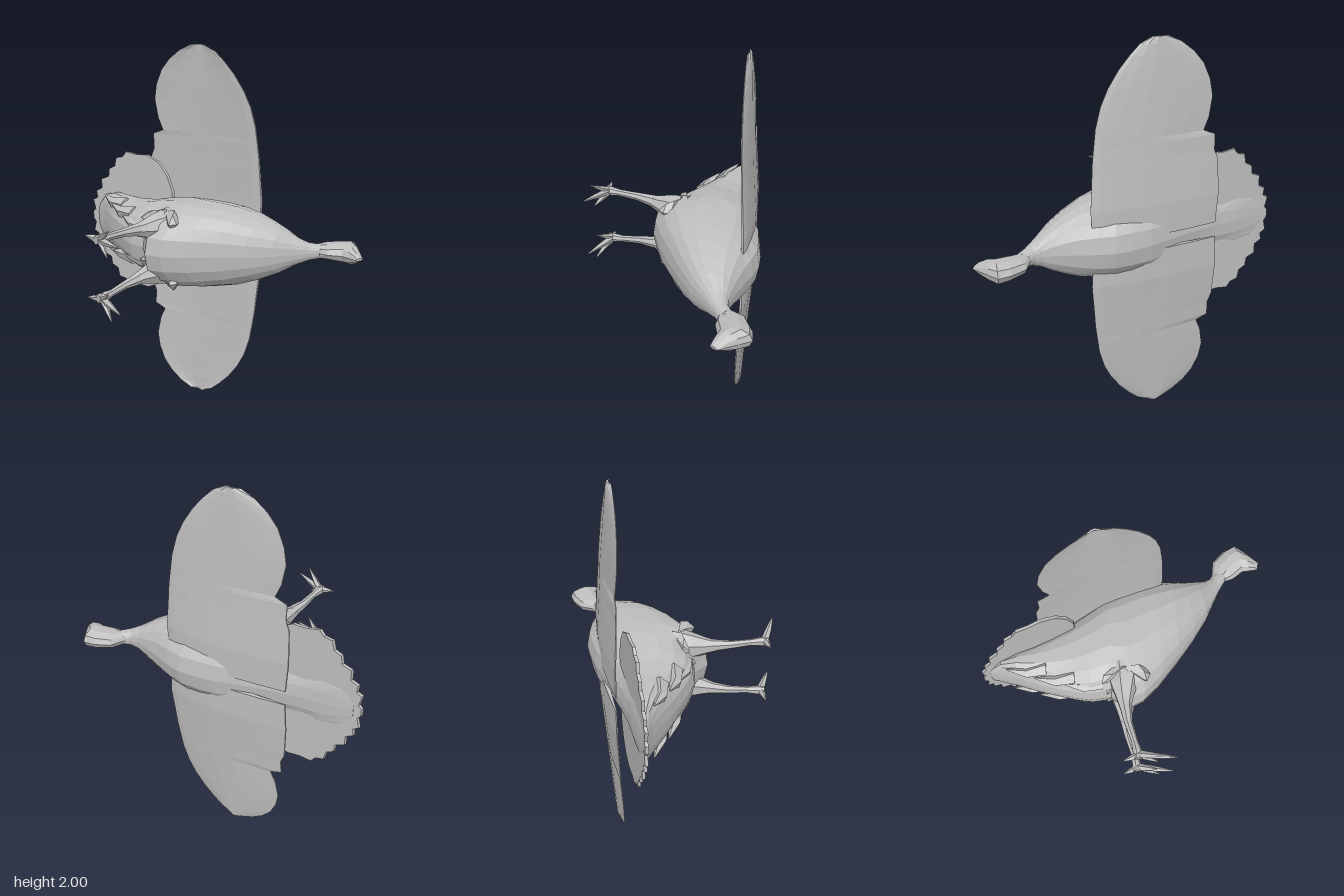
import * as THREE from 'three';

// The bird lies on its side: head to +x, back to -z, wings along y about y = 1.
const MID = 1;
const grey = new THREE.MeshStandardMaterial({ color: 0xbebebe, flatShading: true });
grey.name = 'plain grey';

// Skin a closed solid over rings of points, with fan caps, facing outwards.
function loft(rings) {
  const n = rings[0].length, pos = [], idx = [];
  const add = (p) => pos.push(p.x, p.y, p.z) / 3 - 1;
  rings.forEach((r) => r.forEach(add));
  for (let i = 0; i < rings.length - 1; i++) {
    for (let j = 0; j < n; j++) {
      const a = i * n + j, b = i * n + (j + 1) % n;
      idx.push(a, b, a + n, b, b + n, a + n);
    }
  }
  [0, rings.length - 1].forEach((k) => {
    const c = new THREE.Vector3();
    rings[k].forEach((p) => c.addScaledVector(p, 1 / n));
    const m = add(c);
    for (let j = 0; j < n; j++) {
      const a = k * n + j, b = k * n + (j + 1) % n;
      if (k === 0) idx.push(m, b, a); else idx.push(m, a, b);
    }
  });
  // Signed volume tells whether the corners must be reversed
  const v = (i) => new THREE.Vector3().fromArray(pos, i * 3);
  let vol = 0;
  for (let i = 0; i < idx.length; i += 3) vol += v(idx[i]).dot(v(idx[i + 1]).cross(v(idx[i + 2])));
  if (vol < 0) idx.reverse();
  const g = new THREE.BufferGeometry();
  g.setAttribute('position', new THREE.Float32BufferAttribute(pos, 3));
  g.setIndex(idx);
  g.computeVertexNormals();
  return g;
}

function mesh(name, geometry) {
  const m = new THREE.Mesh(geometry, grey);
  m.name = name;
  return m;
}

// Rounded ring between a back point and a belly point, with half width w
function bodyRing([tx, tz, bx, bz, w], n = 18, power = 2.3) {
  const round = (c) => Math.sign(c) * Math.abs(c) ** (2 / power);
  return Array.from({ length: n }, (_, i) => {
    const a = (i / n) * Math.PI * 2, c = round(Math.cos(a)), s = round(Math.sin(a));
    return new THREE.Vector3((tx + bx) / 2 + c * (tx - bx) / 2, MID + s * w, (tz + bz) / 2 + c * (tz - bz) / 2);
  });
}

// Tapered limb through points [x, y, z, radius], ringed across z or along x
function limb(points, alongX, n = 7) {
  return loft(points.map(([x, y, z, r]) => Array.from({ length: n }, (_, i) => {
    const a = (i / n) * Math.PI * 2, c = Math.cos(a) * r, s = Math.sin(a) * r;
    return alongX ? new THREE.Vector3(x, y + c, z + s) : new THREE.Vector3(x + c, y + s, z);
  })));
}

function wing(side) {
  // [distance from the spine, leading x, trailing x, half thickness]
  const stations = [
    [0.04, 0.19, -0.44, 0.026], [0.2, 0.2, -0.45, 0.026], [0.38, 0.19, -0.44, 0.02],
    [0.43, 0.188, -0.42, 0.018], [0.51, 0.18, -0.42, 0.016], [0.535, 0.177, -0.36, 0.015],
    [0.6, 0.17, -0.385, 0.014], [0.7, 0.145, -0.4, 0.012], [0.78, 0.11, -0.385, 0.011],
    [0.86, 0.06, -0.35, 0.009], [0.92, 0.01, -0.3, 0.008], [0.97, -0.04, -0.235, 0.006],
    [1.0, -0.1, -0.17, 0.003],
  ];
  const chord = [0, 0.06, 0.2, 0.4, 0.6, 0.8, 1];
  return loft(stations.map(([d, lead, trail, thick]) => {
    const point = (t, up) => {
      const x = lead + (trail - lead) * t;
      const mid = -0.27 - 0.345 * x + 0.045 * Math.max(0, d - 0.2) / 0.8;
      const camber = 0.018 * Math.sin(Math.PI * t);
      const half = thick * (0.12 + 1.5 * Math.sqrt(t) * (1 - t) ** 1.1 + 0.1 * (1 - t));
      return new THREE.Vector3(x, MID + side * d, mid - camber - up * half);
    };
    return [...chord.map((t) => point(t, 1)), ...chord.slice().reverse().map((t) => point(t, -1))];
  }));
}

function tailFan() {
  // Half outline of the fan with stepped feather ends
  const half = [
    [-0.27, 0.2], [-0.3, 0.29], [-0.35, 0.36], [-0.42, 0.395], [-0.48, 0.39], [-0.54, 0.4],
    [-0.56, 0.37], [-0.6, 0.36], [-0.61, 0.31], [-0.645, 0.29], [-0.65, 0.245], [-0.695, 0.225],
    [-0.695, 0.17], [-0.73, 0.15], [-0.725, 0.11], [-0.752, 0.095], [-0.74, 0.04], [-0.755, 0.02],
  ];
  const outline = [...half, ...half.slice().reverse().map(([x, y]) => [x, -y])];
  const shape = new THREE.Shape(outline.map(([x, y]) => new THREE.Vector2(x, y)));
  const g = new THREE.ExtrudeGeometry(shape, { depth: 0.016, bevelEnabled: false });
  const p = g.attributes.position;
  for (let i = 0; i < p.count; i++) {
    p.setXYZ(i, p.getX(i), p.getY(i) + MID, p.getZ(i) - 0.243 - 0.42 * p.getX(i));
  }
  g.computeVertexNormals();
  return g;
}

function leg(side) {
  const g = new THREE.Group();
  const y = (d) => MID + side * d;
  g.add(mesh('thigh', limb([
    [-0.03, y(0.11), 0.1, 0.1], [-0.035, y(0.12), 0.2, 0.07], [-0.035, y(0.125), 0.27, 0.045],
    [-0.035, y(0.13), 0.33, 0.027]])));
  g.add(mesh('shank', limb([
    [-0.035, y(0.13), 0.3, 0.034], [-0.025, y(0.138), 0.4, 0.022], [0, y(0.147), 0.5, 0.018],
    [0.01, y(0.15), 0.55, 0.025], [0.01, y(0.15), 0.588, 0.022]])));
  // Toes: tip x, distance from the spine at the tip
  [[0.2, 0.165], [0.13, 0.225], [0.11, 0.095], [-0.06, 0.16]].forEach(([tip, d]) => {
    const mx = 0.02 + (tip - 0.02) * 0.5;
    g.add(mesh('toe', limb([
      [0.01, y(0.15), 0.565, 0.022], [mx, y((0.15 + d) / 2), 0.582, 0.015], [tip, y(d), 0.596, 0.004]], true, 5)));
  });
  // Ragged feathers around the thigh
  [[-0.14, 0.15, 0.2], [0.08, 0.16, 0.2], [-0.12, 0.07, 0.23]].forEach(([x, d, z]) => {
    g.add(mesh('thighFeather', limb([
      [x * 0.3, y(d), 0.13, 0.06], [x * 0.7, y(d), (z + 0.13) / 2, 0.045], [x, y(d), z, 0.004]], false, 5)));
  });
  return g;
}

export function createModel() {
  const model = new THREE.Group();
  model.name = 'bird';

  // Body and neck: back x, back z, belly x, belly z, half width
  const body = [
    [-0.72, 0.058, -0.72, 0.075, 0.07], [-0.65, 0.02, -0.65, 0.09, 0.145], [-0.57, -0.02, -0.57, 0.12, 0.168],
    [-0.48, -0.06, -0.47, 0.16, 0.168], [-0.39, -0.11, -0.38, 0.19, 0.166], [-0.29, -0.17, -0.28, 0.22, 0.178],
    [-0.2, -0.23, -0.2, 0.235, 0.2], [-0.1, -0.3, -0.1, 0.225, 0.217], [0.0, -0.35, -0.01, 0.285, 0.222],
    [0.08, -0.38, 0.07, 0.25, 0.218], [0.17, -0.387, 0.16, 0.165, 0.21], [0.25, -0.384, 0.26, 0.05, 0.19],
    [0.32, -0.384, 0.35, -0.06, 0.155], [0.38, -0.386, 0.43, -0.175, 0.115], [0.43, -0.39, 0.485, -0.28, 0.072],
    [0.465, -0.405, 0.53, -0.36, 0.046], [0.495, -0.44, 0.565, -0.41, 0.036],
  ];
  model.add(mesh('body', loft(body.map((s) => bodyRing(s)))));

  // Head and short beak
  const head = [
    [0.485, -0.425, 0.55, -0.395, 0.034], [0.5, -0.515, 0.6, -0.407, 0.042], [0.565, -0.577, 0.63, -0.428, 0.05],
    [0.622, -0.605, 0.655, -0.447, 0.055], [0.67, -0.565, 0.69, -0.45, 0.048], [0.715, -0.527, 0.725, -0.453, 0.028],
    [0.75, -0.498, 0.74, -0.455, 0.007],
  ];
  model.add(mesh('head', loft(head.map((s) => bodyRing(s, 10, 2)))));

  model.add(mesh('tailFan', tailFan()));

  // Feather tufts under the rear of the body
  for (const side of [1, -1]) {
    [[-0.38, 0.12, 0.14], [-0.52, 0.13, 0.09], [-0.24, 0.09, 0.17]].forEach(([x, d, z]) => {
      model.add(mesh('rearTuft', limb([
        [x + 0.1, MID + side * d, z, 0.045], [x, MID + side * d, z + 0.02, 0.03],
        [x - 0.1, MID + side * (d + 0.02), z + 0.005, 0.004]], true, 5)));
    });
    const name = side > 0 ? 'upper' : 'lower';
    model.add(mesh(name + 'Wing', wing(side)));
    const l = leg(side);
    l.name = name + 'Leg';
    model.add(l);
  }
  return model;
}
